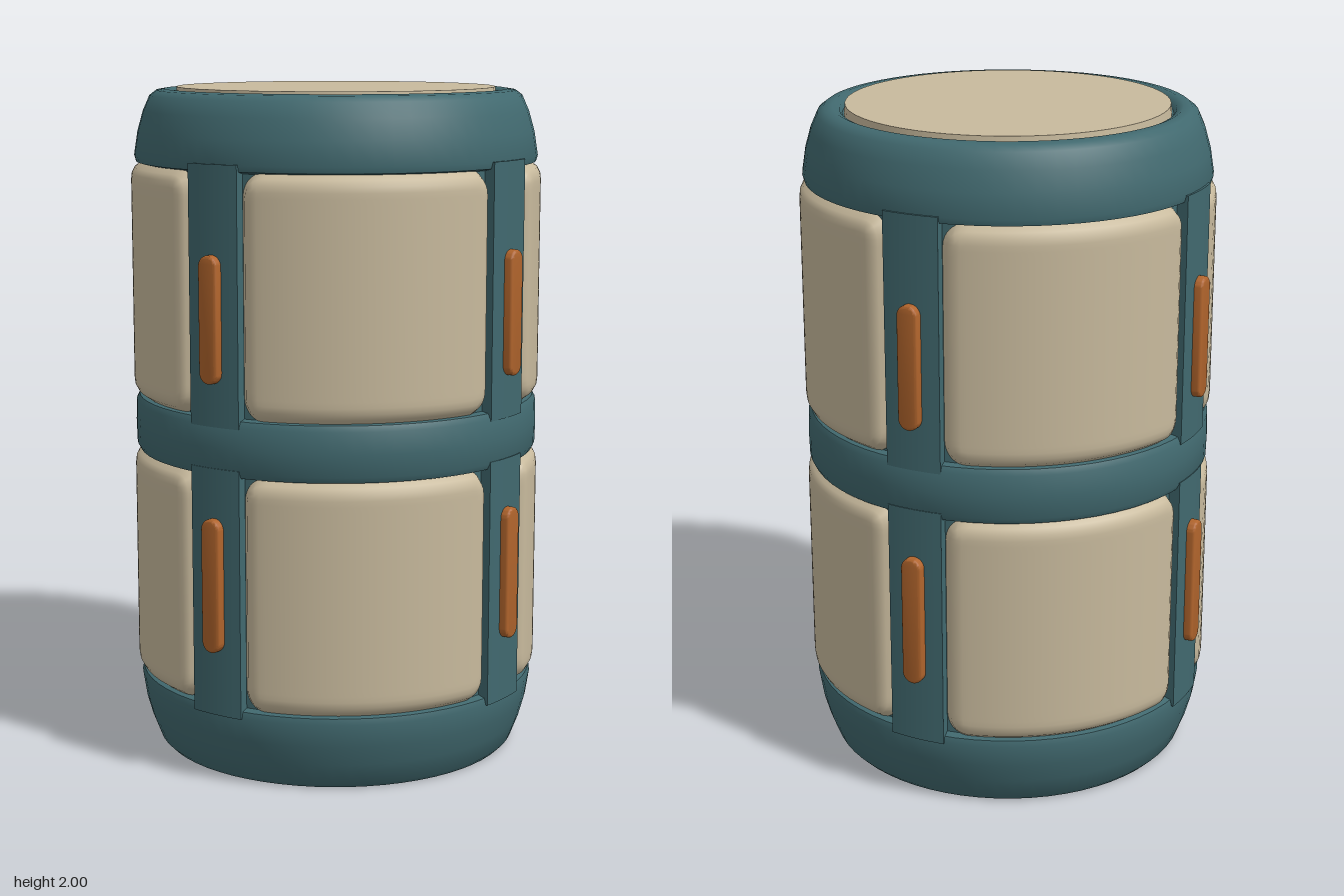
import * as THREE from 'three';
import { toCreasedNormals } from 'three/addons/utils/BufferGeometryUtils.js';

const R = 0.61; // outer radius of the barrel

const mat = (name, color) => {
  const m = new THREE.MeshStandardMaterial({ color });
  m.name = name;
  return m;
};

// Wraps a geometry round the y axis: x becomes arc length, z becomes radius
function wrap(geo) {
  const p = geo.attributes.position;
  for (let i = 0; i < p.count; i++) {
    const a = p.getX(i) / R, r = p.getZ(i);
    p.setXYZ(i, Math.sin(a) * r, p.getY(i), Math.cos(a) * r);
  }
  geo.computeVertexNormals();
  return geo;
}

// Rounded rectangle with soft edges that sink into the frame
function panelGeometry(w, h) {
  const c = 0.07, n = 40;
  const geo = new THREE.PlaneGeometry(w, h, n, n);
  const p = geo.attributes.position;
  for (let i = 0; i < p.count; i++) {
    const x = p.getX(i), y = p.getY(i);
    let dx = Math.max(0, Math.abs(x) - (w / 2 - c));
    let dy = Math.max(0, Math.abs(y) - (h / 2 - c));
    const reach = Math.max(dx, dy);
    if (dx > 0 && dy > 0) {
      const f = reach / Math.hypot(dx, dy);
      p.setX(i, Math.sign(x) * (w / 2 - c + dx * f));
      p.setY(i, Math.sign(y) * (h / 2 - c + dy * f));
    }
    p.setZ(i, R + 0.003 - 0.036 * Math.pow(reach / c, 4));
  }
  return wrap(geo);
}

// Upright pill with a bevelled front
function pillGeometry(w, h) {
  const b = 0.008, r = w / 2 - b, k = h / 2 - w / 2;
  const s = new THREE.Shape();
  s.absarc(0, k, r, 0, Math.PI);
  s.absarc(0, -k, r, Math.PI, Math.PI * 2);
  s.closePath();
  const geo = new THREE.ExtrudeGeometry(s, {
    depth: 0.03, bevelSize: b, bevelThickness: b, bevelSegments: 3, curveSegments: 10,
  });
  return toCreasedNormals(geo, 0.7);
}

export function createModel() {
  const model = new THREE.Group();
  model.name = 'barrel';
  const teal = mat('teal frame', 0x41696f);
  const beige = mat('beige panel', 0xc8ba9d);
  const orange = mat('orange light', 0xb0642c);

  const add = (name, geo, material, parent = model) => {
    const m = new THREE.Mesh(geo, material);
    m.name = name;
    parent.add(m);
    return m;
  };

  // Frame body: rounded end rims, middle band and two recessed bays
  const profile = [
    [0, 0.012], [0.495, 0.012], [0.505, 0], [0.535, 0], [0.55, 0.015], [0.575, 0.08],
    [0.592, 0.14], [0.603, 0.21], [0.598, 0.228], [0.575, 0.234],
    [0.575, 0.914], [0.598, 0.918], [0.607, 0.935], [0.609, 1],
    [0.607, 1.065], [0.598, 1.082], [0.575, 1.086],
    [0.575, 1.776], [0.598, 1.782], [0.603, 1.8], [0.592, 1.87], [0.575, 1.93],
    [0.555, 1.975], [0.535, 1.99], [0.51, 1.994], [0.49, 1.985], [0.482, 1.97], [0, 1.97],
  ].map(([x, y]) => new THREE.Vector2(x, y));
  add('frame', toCreasedNormals(new THREE.LatheGeometry(profile, 64), 0.8), teal);

  // End discs
  const topDisc = add('topDisc', new THREE.CylinderGeometry(0.474, 0.478, 0.04, 64), beige);
  topDisc.position.y = 1.98;
  const bottomDisc = add('bottomDisc', new THREE.CylinderGeometry(0.498, 0.498, 0.02, 64), beige);
  bottomDisc.position.y = 0.011;

  // Bays: lower and upper, [bottom, top, light bottom, light top]
  const bays = [[0.228, 0.92, 0.4, 0.795], [1.08, 1.782, 1.185, 1.55]];
  const panelWidth = R * THREE.MathUtils.degToRad(73.4);

  for (let i = 0; i < 4; i++) {
    const side = new THREE.Group();
    side.name = `side${i + 1}`;
    side.rotation.y = i * Math.PI / 2;
    model.add(side);

    for (const [lo, hi, l0, l1] of bays) {
      // Upright rib between two panels
      const box = new THREE.BoxGeometry(0.172, hi - lo + 0.04, 0.06, 8, 1, 1);
      box.translate(0, 0, R - 0.031);
      const rib = add('rib', toCreasedNormals(wrap(box), 0.7), teal, side);
      rib.position.y = (lo + hi) / 2;

      // Curved panel, an eighth of a turn from the rib
      const panel = add('panel', panelGeometry(panelWidth, hi - lo), beige, side);
      panel.position.y = (lo + hi) / 2;
      panel.rotation.y = Math.PI / 4;

      // Light on the rib
      const light = add('light', pillGeometry(0.064, l1 - l0), orange, side);
      light.position.set(0, (l0 + l1) / 2, 0.596);
    }
  }
  return model;
}
